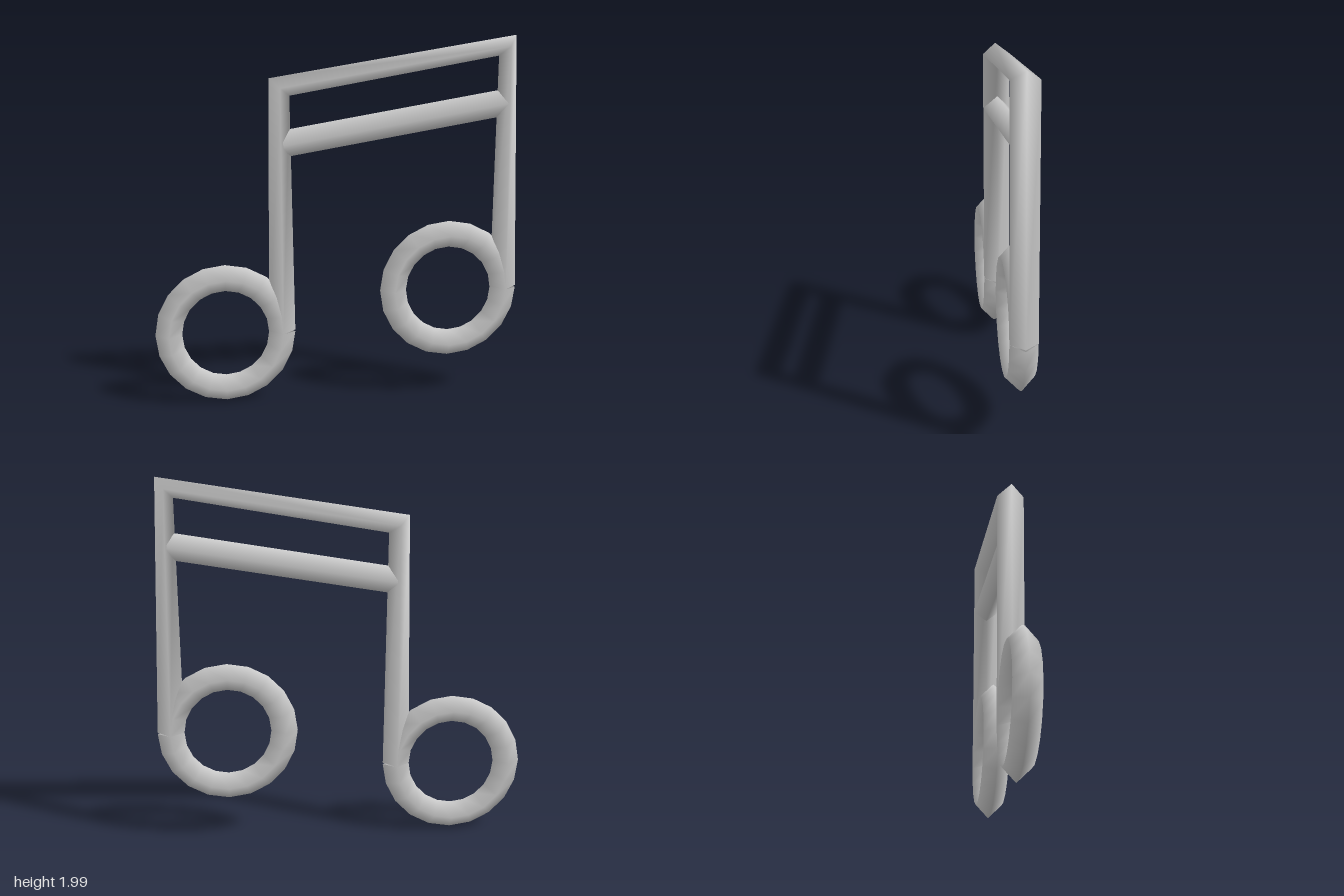
import * as THREE from 'three';

const TUBE = 0.0725;      // half width of the diamond section
const RING = 0.3095;      // centre-line radius of the note heads
const SEGMENTS = 20;
const TILT = 0.06;        // leaves the thin slit where stem meets ring

// Sweeps a smooth-shaded diamond through sections [x, y, angle of outer corner].
function sweep(sections) {
  const positions = [], normals = [], index = [];
  sections.forEach(([x, y, angle], i) => {
    for (let j = 0; j < 4; j++) {
      const u = [1, 0, -1, 0][j], w = [0, 1, 0, -1][j];
      const n = [Math.cos(angle) * u, Math.sin(angle) * u, w];
      normals.push(...n);
      positions.push(x + n[0] * TUBE, y + n[1] * TUBE, n[2] * TUBE);
      if (i > 0) {
        const k = (j + 1) % 4, a = (i - 1) * 4, b = i * 4;
        index.push(a + j, a + k, b + k, a + j, b + k, b + j);
      }
    }
  });
  const geometry = new THREE.BufferGeometry();
  geometry.setAttribute('position', new THREE.Float32BufferAttribute(positions, 3));
  geometry.setAttribute('normal', new THREE.Float32BufferAttribute(normals, 3));
  geometry.setIndex(index);
  return geometry;
}

// Ring that starts below the stem and winds clockwise back up to it.
function ringSections(cx, cy) {
  const sections = [];
  for (let i = 0; i <= SEGMENTS; i++) {
    const angle = -i / SEGMENTS * Math.PI * 2;
    const tilt = i === 0 ? -TILT : i === SEGMENTS ? TILT : 0;
    sections.push([cx + RING * Math.cos(angle), cy + RING * Math.sin(angle), angle + tilt]);
  }
  return sections;
}

export function createModel() {
  const group = new THREE.Group();
  const grey = new THREE.MeshStandardMaterial({ color: 0xcccccc, side: THREE.DoubleSide });
  grey.name = 'light grey';

  const add = (name, sections) => {
    const mesh = new THREE.Mesh(sweep(sections), grey);
    mesh.name = name;
    group.add(mesh);
  };

  const heads = { right: [-0.618, 0.384], left: [0.617, 0.593] };
  const slope = Math.atan2(0.207, 1.237);

  // Note heads
  add('rightNoteHead', ringSections(...heads.right));
  add('leftNoteHead', ringSections(...heads.left));

  // Stems and top beam as one mitred frame
  add('stemsAndTopBeam', [
    [heads.right[0] + RING, heads.right[1], Math.PI + TILT],
    [-0.315, 1.725, Math.PI * 0.75 + slope / 2],
    [0.922, 1.932, Math.PI * 0.25 + slope / 2],
    [heads.left[0] + RING, heads.left[1], TILT],
  ]);

  // Lower beam, its ends buried in the stems
  add('lowerBeam', [
    [-0.3, 1.42, Math.PI / 2 + slope],
    [0.915, 1.624, Math.PI / 2 + slope],
  ]);

  return group;
}
